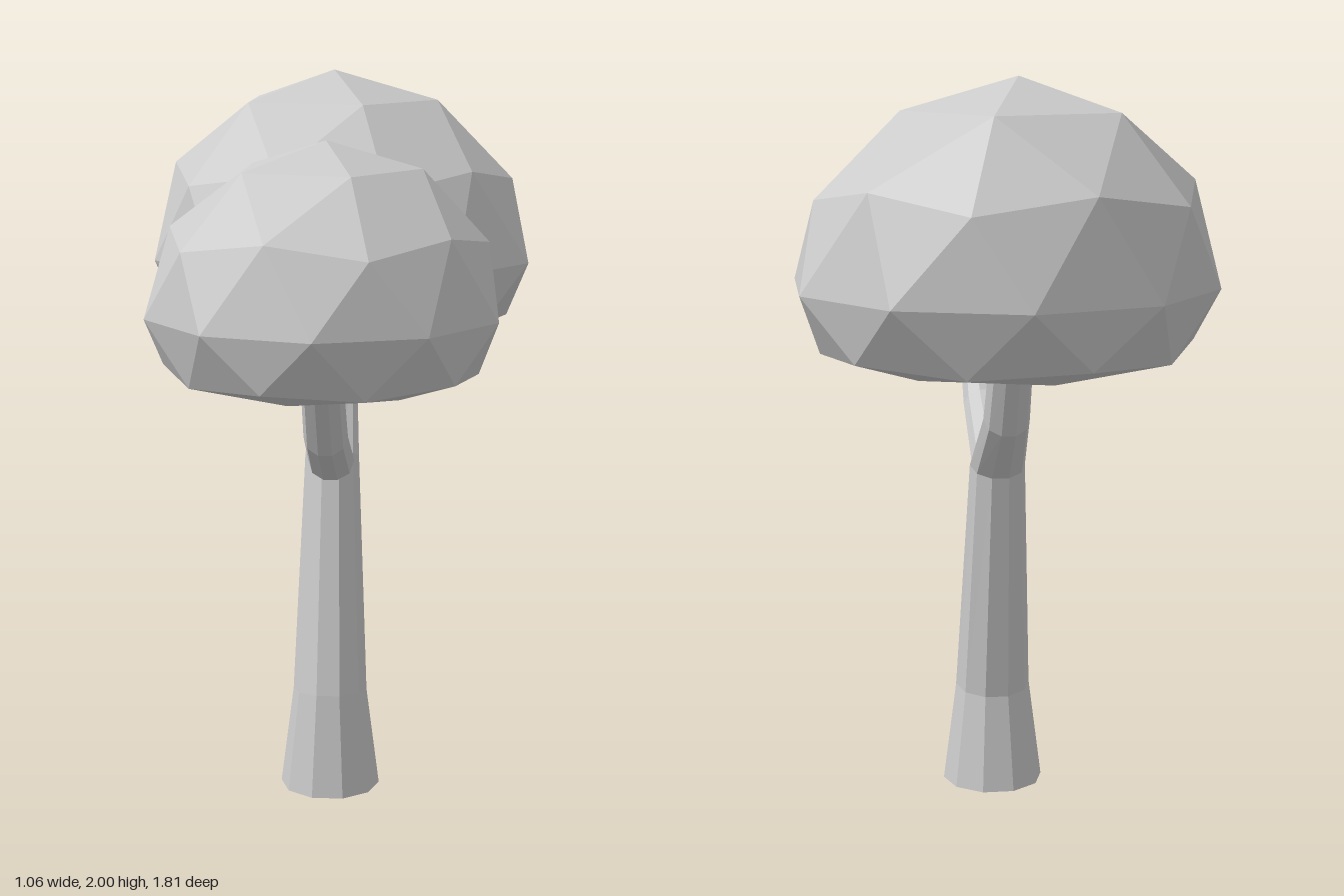
import * as THREE from 'three';

const material = new THREE.MeshStandardMaterial({ color: 0xcccccc, flatShading: true, side: THREE.FrontSide });
const SIDES = 10;
const LEAN_X = -0.018; // the wood sits slightly to one side

function addMesh(group, name, geometry) {
  const mesh = new THREE.Mesh(geometry, material);
  mesh.name = name;
  group.add(mesh);
  return mesh;
}

// Bent, tapering limb in the yz plane; each ring is [y, z, radius]
function limb(rings) {
  const positions = [];
  const index = [];
  rings.forEach(([y, z, r], i) => {
    const [y0, z0] = rings[Math.max(i - 1, 0)];
    const [y1, z1] = rings[Math.min(i + 1, rings.length - 1)];
    const length = Math.hypot(y1 - y0, z1 - z0);
    const ty = (y1 - y0) / length;
    const tz = (z1 - z0) / length;
    for (let j = 0; j < SIDES; j++) {
      const a = (j / SIDES) * Math.PI * 2;
      const c = Math.cos(a) * r;
      const s = Math.sin(a) * r;
      positions.push(LEAN_X + c, y + tz * s, z - ty * s);
    }
  });
  for (let i = 0; i < rings.length - 1; i++) {
    for (let j = 0; j < SIDES; j++) {
      const a = i * SIDES + j;
      const b = i * SIDES + ((j + 1) % SIDES);
      index.push(a, b, b + SIDES, a, b + SIDES, a + SIDES);
    }
  }
  // End caps
  const last = (rings.length - 1) * SIDES;
  for (let j = 1; j < SIDES - 1; j++) {
    index.push(0, j + 1, j, last, last + j, last + j + 1);
  }
  const geometry = new THREE.BufferGeometry();
  geometry.setAttribute('position', new THREE.Float32BufferAttribute(positions, 3));
  geometry.setIndex(index);
  geometry.computeVertexNormals();
  return geometry;
}

// Faceted dome with a squashed, nearly flat underside
function crown({ center, radiusX, radiusZ, height, depth, lean }) {
  const geometry = new THREE.IcosahedronGeometry(1, 1);
  geometry.rotateZ(-Math.atan(2 / (1 + Math.sqrt(5)))); // one corner straight up
  const p = geometry.attributes.position;
  for (let i = 0; i < p.count; i++) {
    const y = Math.abs(p.getY(i)) < 1e-4 ? 0 : p.getY(i);
    const up = Math.max(y, 0);
    const newY = y > 0 ? height * Math.pow(y, 1.08) : -depth * (1 - (1 + y) ** 2);
    p.setXYZ(
      i,
      center[0] + p.getX(i) * radiusX + lean[0] * up,
      center[1] + newY,
      center[2] + p.getZ(i) * radiusZ + lean[1] * up
    );
  }
  geometry.computeVertexNormals();
  return geometry;
}

export function createModel() {
  const tree = new THREE.Group();
  tree.name = 'tree';

  // Trunk flares at the foot and bends back into the rear branch
  addMesh(tree, 'trunk', limb([
    [0, 0, 0.14],
    [0.28, 0, 0.104],
    [0.94, -0.105, 0.076],
    [1.105, -0.29, 0.062],
    [1.25, -0.365, 0.058],
    [1.36, -0.42, 0.056],
  ]));

  // Side branch reaches forward
  addMesh(tree, 'frontBranch', limb([
    [0.935, -0.06, 0.065],
    [1.055, 0.18, 0.06],
    [1.24, 0.335, 0.056],
    [1.34, 0.42, 0.054],
  ]));

  addMesh(tree, 'rearCrown', crown({
    center: [0, 1.475, -0.37], radiusX: 0.555, radiusZ: 0.535,
    height: 0.525, depth: 0.222, lean: [-0.03, -0.04],
  }));
  addMesh(tree, 'frontCrown', crown({
    center: [-0.005, 1.435, 0.435], radiusX: 0.46, radiusZ: 0.467,
    height: 0.43, depth: 0.2, lean: [0.005, 0],
  }));

  return tree;
}
